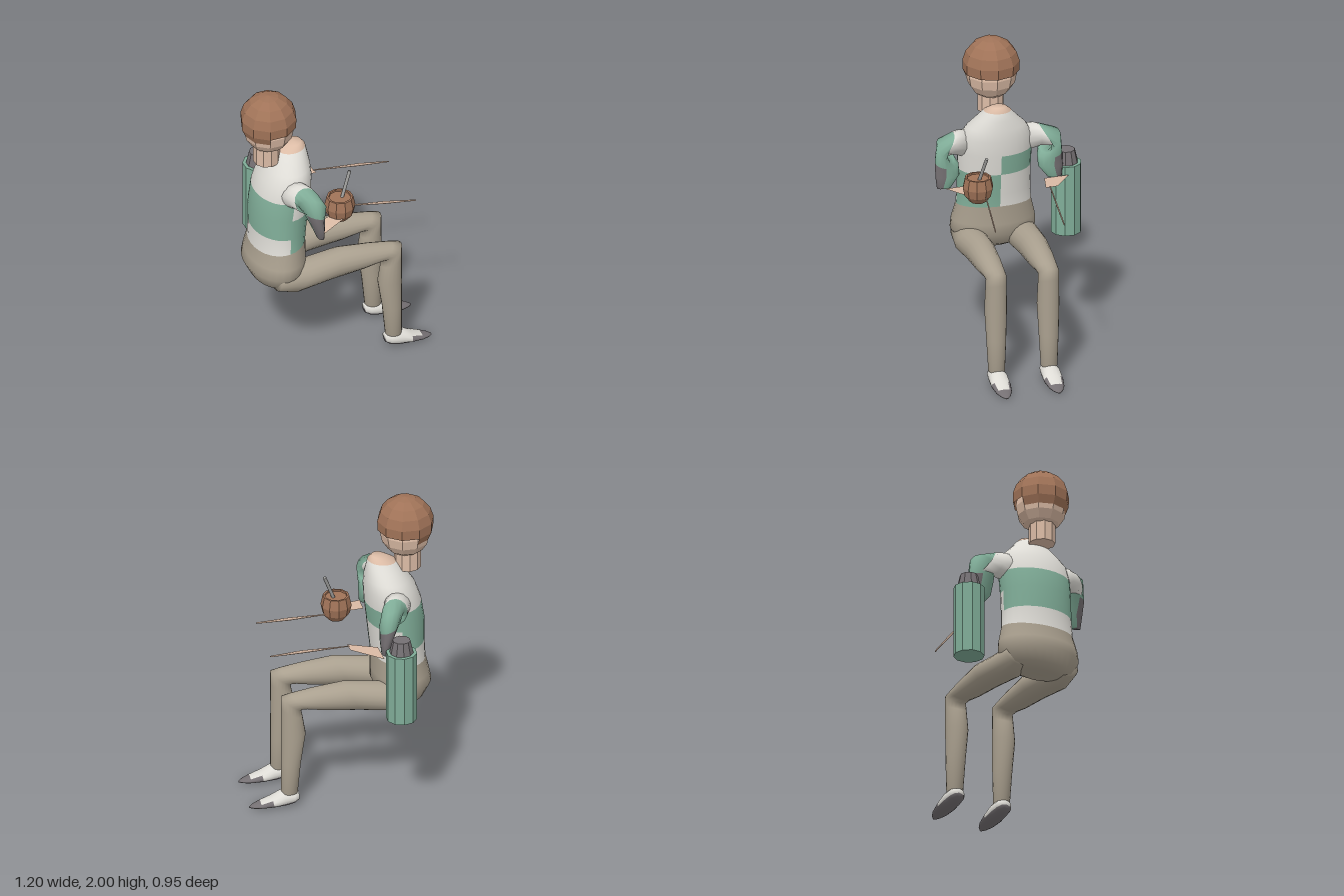
import * as THREE from 'three';

const mat = (name, color, side = THREE.FrontSide) => {
  const m = new THREE.MeshStandardMaterial({ color, side });
  m.name = name;
  return m;
};

export function createModel() {
  const group = new THREE.Group();
  const brown = mat('brown', 0xa07358, THREE.DoubleSide);
  const skin = mat('skin', 0xdcbca6, THREE.DoubleSide);
  const white = mat('white cloth', 0xdedcd6);
  const green = mat('green', 0x80ad98);
  const taupe = mat('taupe trousers', 0xaaa08f);
  const grey = mat('dark grey', 0x757073);
  const silver = mat('silver', 0x9c9c9a);
  const MID = 0.07; // the figure's own centre plane in z

  const add = (name, geo, material, x = 0, y = 0, z = 0) => {
    const mesh = new THREE.Mesh(geo, material);
    mesh.name = name;
    mesh.position.set(x, y, z);
    group.add(mesh);
    return mesh;
  };
  // facet normals for the low-poly parts
  const facet = (geo) => {
    const g = geo.index ? geo.toNonIndexed() : geo;
    g.computeVertexNormals();
    return g;
  };

  // Skin over elliptical rings { c: centre, a, b: half axes }; pick(band, cos, sin) chooses the material index
  function loft(name, rings, n, materials, pick = () => 0) {
    const pos = [], lists = materials.map(() => []);
    const first = rings[0], last = rings[rings.length - 1];
    const all = [{ ...first, s: 0 }, ...rings, { ...last, s: 0 }];
    for (const { c, a, b, s = 1 } of all) {
      for (let j = 0; j < n; j++) {
        const t = (j / n) * Math.PI * 2, u = Math.cos(t) * s, v = Math.sin(t) * s;
        for (let k = 0; k < 3; k++) pos.push(c[k] + a[k] * u + b[k] * v);
      }
    }
    const V = (p) => new THREE.Vector3(...p);
    const flip = V(first.a).cross(V(first.b)).dot(V(rings[1].c).sub(V(first.c))) < 0;
    for (let i = 0; i < all.length - 1; i++) {
      for (let j = 0; j < n; j++) {
        const p = i * n + j, q = i * n + ((j + 1) % n), r = q + n, s = p + n;
        const t = ((j + 0.5) / n) * Math.PI * 2;
        const band = Math.min(Math.max(i - 1, 0), rings.length - 2);
        lists[pick(band, Math.cos(t), Math.sin(t))].push(...(flip ? [p, r, q, p, s, r] : [p, q, r, p, r, s]));
      }
    }
    const geo = new THREE.BufferGeometry();
    geo.setAttribute('position', new THREE.Float32BufferAttribute(pos, 3));
    geo.setIndex(lists.flat());
    let start = 0;
    lists.forEach((l, k) => { geo.addGroup(start, l.length, k); start += l.length; });
    geo.computeVertexNormals();
    return add(name, geo, materials);
  }
  // ring given by two side-profile points and a half width in z
  const profile = ([x1, y1, x2, y2, w], z) => ({
    c: [(x1 + x2) / 2, (y1 + y2) / 2, z], a: [(x1 - x2) / 2, (y1 - y2) / 2, 0], b: [0, 0, w],
  });

  // Torso: hips, harlequin shirt and neckline
  const torso = [
    [-0.32, 0.63, -0.48, 0.63, 0.13], [-0.25, 0.67, -0.53, 0.66, 0.22], [-0.2, 0.75, -0.575, 0.75, 0.27],
    [-0.2, 0.82, -0.56, 0.82, 0.265], [-0.2, 0.945, -0.54, 0.905, 0.238], [-0.19, 1.03, -0.535, 1.03, 0.232],
    [-0.175, 1.17, -0.535, 1.17, 0.232], [-0.16, 1.3, -0.515, 1.3, 0.235], [-0.155, 1.4, -0.48, 1.4, 0.225],
    [-0.16, 1.47, -0.44, 1.46, 0.185], [-0.17, 1.53, -0.4, 1.52, 0.125], [-0.18, 1.58, -0.36, 1.565, 0.085],
    [-0.205, 1.61, -0.3, 1.6, 0.05],
  ].map((r) => profile(r, MID));
  loft('torso', torso, 28, [taupe, white, green, skin], (i, front, side) => {
    if (i < 4) return 0;
    if (i > 10) return 3;
    if (i > 6) return 1;
    const greenBands = front < 0 ? [5, 6] : side > 0 ? [4, 5] : [6];
    return greenBands.includes(i) ? 2 : 1;
  });

  // Head, neck and hair
  add('head', facet(new THREE.SphereGeometry(0.16, 10, 8)), skin, -0.42, 1.76, MID);
  add('neck', facet(new THREE.CylinderGeometry(0.083, 0.083, 0.14, 10)), skin, -0.433, 1.58, MID);
  const P = Math.PI;
  add('hair', facet(new THREE.SphereGeometry(0.18, 10, 5, 0, P * 2, 0, P * 0.57)), brown, -0.42, 1.82, MID);
  add('hairBack', facet(new THREE.SphereGeometry(0.18, 4, 2, -P * 0.4, P * 0.8, P * 0.57, P * 0.23)), brown, -0.42, 1.82, MID);

  for (const s of [1, -1]) {
    const side = s > 0 ? 'right' : 'left';
    const z = MID + s * 0.168;

    // Seated leg
    const leg = [
      [-0.42, 0.79, -0.45, 0.64, 0.09], [-0.2, 0.8, -0.34, 0.6, 0.102], [0, 0.825, -0.1, 0.63, 0.092],
      [0.2, 0.8, 0.12, 0.65, 0.08], [0.34, 0.775, 0.23, 0.67, 0.068], [0.4, 0.76, 0.275, 0.67, 0.065],
      [0.4, 0.68, 0.265, 0.62, 0.066], [0.4, 0.5, 0.245, 0.5, 0.07], [0.4, 0.3, 0.275, 0.3, 0.062],
      [0.4, 0.09, 0.295, 0.09, 0.052],
    ].map((r) => profile(r, z));
    loft(side + 'Leg', leg, 18, [taupe]);

    // Pointed shoe with a dark sole and toe
    const shoe = [
      [0.29, 0.09, 0.29, 0.035, 0.035], [0.32, 0.105, 0.32, 0.015, 0.054], [0.4, 0.105, 0.36, 0.004, 0.06],
      [0.46, 0.066, 0.45, 0.002, 0.062], [0.53, 0.038, 0.53, 0, 0.05], [0.575, 0.022, 0.575, 0, 0.03],
      [0.6, 0.01, 0.6, 0.002, 0.008],
    ].map((r) => profile(r, z));
    loft(side + 'Shoe', shoe, 16, [white, grey], (i, up) => (i > 3 || up < -0.3 || (i === 3 && up < 0.6) ? 1 : 0));

    // Drooping sleeve: white shoulder, green cloth, grey cuff
    const sleeve = [
      [-0.34, 1.34, 0.17, [0.07, 0.07, 0], [0.06, -0.06, s * 0.03]],
      [-0.31, 1.365, 0.26, [0.06, 0.06, 0], [0.06, -0.05, s * 0.02]],
      [-0.29, 1.365, 0.315, [0.055, 0.05, s * -0.03], [0.06, -0.05, s * 0.03]],
      [-0.265, 1.335, 0.335, [0.035, 0.055, s * 0.06], [0.075, -0.045, 0]],
      [-0.25, 1.26, 0.33, [0.01, 0.01, s * 0.078], [0.06, -0.02, 0]],
      [-0.23, 1.18, 0.33, [0.005, 0, s * 0.078], [0.038, 0, 0]],
      [-0.22, 1.105, 0.355, [0, 0, s * 0.045], [0.022, 0, 0]],
    ].map(([x, y, dz, a, b]) => ({ c: [x, y, MID + s * dz], a, b }));
    loft(side + 'Sleeve', sleeve, 14, [white, green, grey], (i, out) => (i < 2 ? 0 : i > 3 && out > 0.4 ? 2 : 1));
  }

  // Thin flattened forearms tapering into long points
  const hand = (name, pts, path) => {
    const geo = new THREE.BufferGeometry();
    geo.setAttribute('position', new THREE.Float32BufferAttribute(pts.flat(), 3));
    geo.setIndex([0, 1, 2, 0, 2, 3]);
    geo.computeVertexNormals();
    add(name + 'Forearm', geo, skin);
    loft(name + 'Hand', path.map(([x, y, z, h]) => ({ c: [x, y, z], a: [0, h, 0], b: [0, 0, 0.004] })), 6, [skin]);
  };
  hand('right', [[-0.2, 1.11, 0.3], [-0.2, 1.105, 0.42], [-0.02, 1.13, 0.34], [0.06, 1.135, 0.225]],
    [[0.03, 1.135, 0.225, 0.003], [0.28, 1.11, 0.255, 0.011], [0.48, 1.09, 0.28, 0.005]]);
  hand('left', [[-0.2, 1.11, -0.37], [-0.01, 1.13, -0.25], [0, 1.13, -0.17], [-0.19, 1.11, -0.21]],
    [[-0.01, 1.132, -0.2, 0.003], [0.28, 1.11, -0.175, 0.011], [0.48, 1.09, -0.16, 0.005]]);

  // Round drinking cup with a metal straw
  const cup = [[0, 1.07], [0.05, 1.083], [0.085, 1.125], [0.097, 1.18], [0.083, 1.245], [0.07, 1.245], [0.068, 1.235], [0, 1.235]];
  add('cup', facet(new THREE.LatheGeometry(cup.map((p) => new THREE.Vector2(...p)), 10)), brown, -0.02, 0, 0.26);
  const from = new THREE.Vector3(-0.015, 1.2, 0.262), to = new THREE.Vector3(0.06, 1.395, 0.225);
  const straw = add('straw', new THREE.CylinderGeometry(0.011, 0.011, from.distanceTo(to), 8), silver);
  straw.position.copy(from).lerp(to, 0.5);
  straw.quaternion.setFromUnitVectors(new THREE.Vector3(0, 1, 0), to.clone().sub(from).normalize());

  // Flask with a dark stopper
  add('flask', facet(new THREE.CylinderGeometry(0.097, 0.097, 0.465, 10)), green, -0.305, 0.9225, -0.38);
  add('flaskStopper', facet(new THREE.CylinderGeometry(0.056, 0.075, 0.085, 10)), grey, -0.305, 1.1975, -0.38);

  return group;
}
